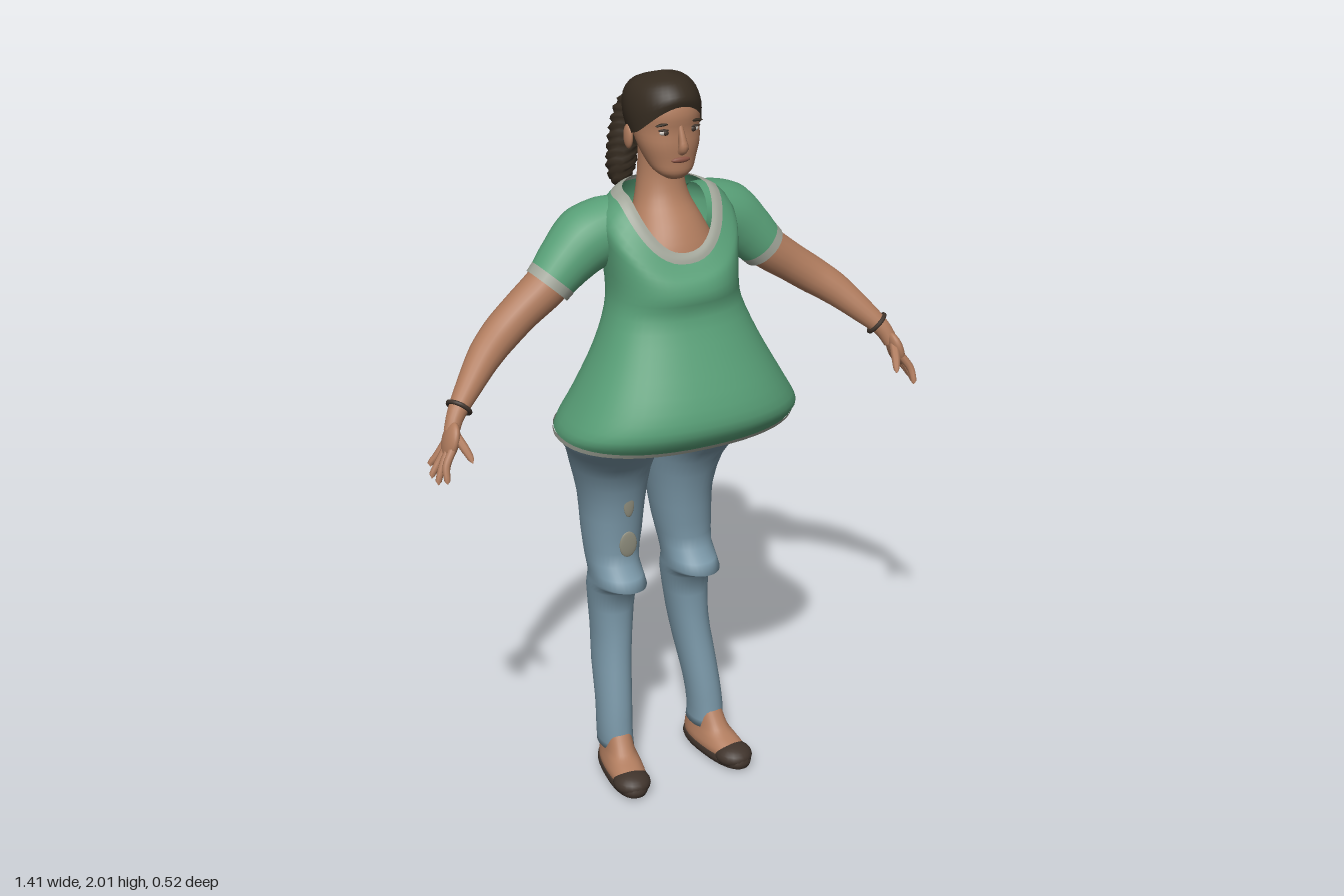
import * as THREE from 'three';

const mat = (name, color, open) => {
  const m = new THREE.MeshStandardMaterial({ color });
  m.name = name;
  if (open) m.side = THREE.DoubleSide;
  return m;
};

const catmull = (a, b, c, d, t) =>
  0.5 * (2 * b + (c - a) * t + (2 * a - 5 * b + 4 * c - d) * t * t + (3 * b - a - 3 * c + d) * t * t * t);

// Rings run bottom to top: [centreX, halfWidth, zFront, zBack, yFront, ySide, yBack]
function loft(rings, { steps = 3, power = 2, cap = false, n = 36 } = {}) {
  const R = rings.map(r => (r.length === 5 ? [...r, r[4], r[4]] : r));
  const all = [];
  for (let i = 0; i < R.length - 1; i++) {
    const [a, b, c, d] = [R[Math.max(i - 1, 0)], R[i], R[i + 1], R[Math.min(i + 2, R.length - 1)]];
    for (let k = 0; k < steps; k++) all.push(b.map((v, j) => catmull(a[j], v, c[j], d[j], k / steps)));
  }
  all.push(R[R.length - 1]);
  const pos = [], idx = [];
  const sp = v => Math.sign(v) * Math.abs(v) ** (2 / power);
  for (const [cx, hw, zf, zb, yf, ys, yb] of all) {
    for (let j = 0; j < n; j++) {
      const a = (j / n) * Math.PI * 2, s = sp(Math.sin(a));
      pos.push(cx + hw * sp(Math.cos(a)), ys + ((s > 0 ? yf : yb) - ys) * Math.abs(s) ** 1.5,
        (zf + zb) / 2 + s * (zf - zb) / 2);
    }
  }
  for (let i = 0; i < all.length - 1; i++) {
    for (let j = 0; j < n; j++) {
      const a = i * n + j, b = i * n + ((j + 1) % n);
      idx.push(a, a + n, b, b, a + n, b + n);
    }
  }
  if (cap) {
    for (const [ring, base, up] of [[all[0], 0, false], [all[all.length - 1], (all.length - 1) * n, true]]) {
      const c = pos.length / 3;
      pos.push(ring[0], (ring[4] + ring[6]) / 2, (ring[2] + ring[3]) / 2);
      for (let j = 0; j < n; j++) {
        const a = base + j, b = base + ((j + 1) % n);
        idx.push(c, up ? b : a, up ? a : b);
      }
    }
  }
  const g = new THREE.BufferGeometry();
  g.setAttribute('position', new THREE.Float32BufferAttribute(pos, 3));
  g.setIndex(idx);
  g.computeVertexNormals();
  return g;
}

// Tube with a radius at each control point [x, y, z, radius]
function limb(points, s = 1, sides = 16, seg = 24) {
  const curve = new THREE.CatmullRomCurve3(points.map(p => new THREE.Vector3(p[0] * s, p[1], p[2])));
  const g = new THREE.TubeGeometry(curve, seg, 1, sides);
  const p = g.attributes.position, v = new THREE.Vector3();
  for (let i = 0; i <= seg; i++) {
    const c = curve.getPointAt(i / seg);
    const t = curve.getUtoTmapping(i / seg) * (points.length - 1);
    const k = Math.min(Math.floor(t), points.length - 2);
    const r = THREE.MathUtils.lerp(points[k][3], points[k + 1][3], t - k);
    for (let j = 0; j <= sides; j++) {
      const q = i * (sides + 1) + j;
      v.fromBufferAttribute(p, q).sub(c).multiplyScalar(r).add(c);
      p.setXYZ(q, v.x, v.y, v.z);
    }
  }
  return g;
}

export function createModel() {
  const model = new THREE.Group();
  model.name = 'woman';
  const skin = mat('skin', 0xb07c5e), green = mat('shirtGreen', 0x589f77, true);
  const trim = mat('trimGrey', 0xa0a498, true), denim = mat('denim', 0x7895a5);
  const hair = mat('hairBrown', 0x352b20, true), shoe = mat('shoeDark', 0x40342c);
  const lip = mat('lipBrown', 0x8a5344), white = mat('eyeWhite', 0xcfc8c0), patch = mat('wornPatch', 0x8d8c7c);

  const add = (name, geo, m, parent = model) => {
    const o = new THREE.Mesh(geo, m);
    o.name = name;
    parent.add(o);
    return o;
  };
  const blob = (name, m, p, r, parent) => {
    const o = add(name, new THREE.SphereGeometry(1, 20, 14), m, parent);
    o.position.set(...p);
    o.scale.set(...r);
    return o;
  };

  // Flared shirt with scooped neckline
  add('shirt', loft([
    [0, 0.328, 0.23, -0.178, 1.075, 1.085, 1.105],
    [0, 0.322, 0.262, -0.168, 1.125, 1.115, 1.14],
    [0, 0.28, 0.252, -0.15, 1.19, 1.19, 1.2],
    [0, 0.222, 0.2, -0.122, 1.3, 1.3, 1.3],
    [0, 0.182, 0.155, -0.113, 1.4, 1.4, 1.4],
    [0, 0.172, 0.16, -0.135, 1.455, 1.47, 1.48],
    [0, 0.178, 0.15, -0.158, 1.49, 1.56, 1.56],
    [0, 0.18, 0.132, -0.165, 1.512, 1.635, 1.63],
    [0, 0.14, 0.115, -0.145, 1.535, 1.685, 1.685],
  ], { power: 2.3, n: 48 }), green);
  add('necklineTrim', loft([
    [0, 0.14, 0.115, -0.145, 1.535, 1.685, 1.685],
    [0, 0.125, 0.11, -0.138, 1.548, 1.693, 1.698],
    [0, 0.11, 0.1, -0.125, 1.56, 1.695, 1.705],
  ], { power: 2.3, n: 48 }), trim);
  add('hemTrim', loft([
    [0, 0.329, 0.224, -0.18, 1.065, 1.073, 1.092],
    [0, 0.33, 0.232, -0.18, 1.077, 1.087, 1.107],
  ], { power: 2.3, n: 48, steps: 1 }), trim);

  // Chest and neck
  add('neck', loft([
    [0, 0.125, 0.12, -0.05, 1.49], [0, 0.115, 0.1, -0.08, 1.56], [0, 0.092, 0.065, -0.105, 1.62],
    [0, 0.07, 0.02, -0.11, 1.675], [0, 0.06, 0.0, -0.105, 1.74], [0, 0.06, 0.0, -0.1, 1.81],
  ]), skin);

  // Head and face
  add('head', loft([
    [0, 0.026, 0.052, 0.0, 1.742], [0, 0.05, 0.064, -0.03, 1.76], [0, 0.066, 0.065, -0.065, 1.79],
    [0, 0.08, 0.067, -0.09, 1.83], [0, 0.085, 0.064, -0.12, 1.87], [0, 0.087, 0.067, -0.13, 1.91],
    [0, 0.078, 0.052, -0.12, 1.95], [0, 0.045, 0.015, -0.08, 1.98],
  ], { cap: true, power: 2.15 }), skin);
  add('nose', limb([[0, 1.882, 0.06, 0.006], [0, 1.848, 0.073, 0.01], [0, 1.83, 0.077, 0.014],
    [0, 1.815, 0.064, 0.01]], 1, 12, 12), skin);
  blob('lips', lip, [0, 1.795, 0.063], [0.026, 0.008, 0.008]);
  for (const s of [1, -1]) {
    blob('ear', skin, [s * 0.088, 1.835, -0.055], [0.01, 0.032, 0.02]);
    blob('eye', white, [s * 0.038, 1.868, 0.053], [0.017, 0.007, 0.006]);
    blob('iris', shoe, [s * 0.038, 1.868, 0.056], [0.008, 0.007, 0.005]);
    blob('lashes', shoe, [s * 0.04, 1.875, 0.054], [0.019, 0.003, 0.006]);
    blob('eyebrow', hair, [s * 0.042, 1.89, 0.054], [0.024, 0.004, 0.006]).rotation.z = -s * 0.1;
  }

  // Swept-back hair and ponytail
  add('hair', loft([
    [0, 0.09, 0.066, -0.105, 1.932, 1.855, 1.775], [0, 0.096, 0.068, -0.152, 1.95, 1.905, 1.84],
    [0, 0.087, 0.052, -0.164, 1.972, 1.952, 1.91], [0, 0.06, 0.024, -0.128, 1.99, 1.982, 1.965],
    [0, 0.002, -0.033, -0.037, 2, 2, 2],
  ], { n: 40 }), hair);
  const tail = limb([[0, 1.89, -0.14, 0.025], [-0.005, 1.895, -0.18, 0.027], [-0.015, 1.85, -0.208, 0.036],
    [-0.025, 1.78, -0.213, 0.04], [-0.035, 1.71, -0.21, 0.038], [-0.04, 1.665, -0.205, 0.026],
    [-0.04, 1.645, -0.203, 0.002]], 1, 14, 40);
  // Wavy strands
  const tp = tail.attributes.position;
  for (let i = 0; i < tp.count; i++) {
    const row = Math.floor(i / 15), w = Math.sin(row * 1.9 + (i % 15 % 14) * 2.2) * 0.004;
    tp.setX(i, tp.getX(i) + w);
    tp.setZ(i, tp.getZ(i) + w * 0.6);
  }
  tail.computeVertexNormals();
  add('ponytail', tail, hair);

  // Hips
  add('hips', loft([
    [0, 0.12, -0.06, -0.2, 0.94], [0, 0.2, 0.0, -0.21, 0.97], [0, 0.255, 0.095, -0.19, 1.03], [0, 0.28, 0.17, -0.165, 1.11],
  ], { cap: true }), denim);

  for (const s of [1, -1]) {
    const side = new THREE.Group();
    side.name = s > 0 ? 'leftSide' : 'rightSide';
    model.add(side);

    // Trouser leg with a pointed knee fold
    add('trouserLeg', loft([
      [0.14, 0.046, 0.008, -0.125, 0.07], [0.142, 0.047, 0, -0.12, 0.12], [0.137, 0.048, -0.013, -0.135, 0.2],
      [0.128, 0.051, -0.035, -0.175, 0.3], [0.118, 0.054, -0.053, -0.2, 0.4], [0.113, 0.066, -0.057, -0.208, 0.53],
      [0.112, 0.068, 0.02, -0.21, 0.57], [0.112, 0.07, -0.045, -0.215, 0.62], [0.107, 0.08, -0.05, -0.235, 0.7],
      [0.103, 0.088, -0.042, -0.255, 0.8], [0.11, 0.106, -0.015, -0.26, 0.9], [0.123, 0.121, 0.04, -0.24, 0.97],
      [0.143, 0.142, 0.1, -0.205, 1.03], [0.145, 0.143, 0.15, -0.17, 1.1],
    ].map(r => [r[0] * s, ...r.slice(1)]), { steps: 2, cap: true, power: 2.15 }), denim, side);

    // Foot in a low open shoe
    const foot = new THREE.Group();
    foot.name = 'foot';
    foot.position.x = s * 0.147;
    foot.rotation.y = s * 0.14;
    side.add(foot);
    add('footSkin', loft([
      [0, 0.05, 0.13, -0.126, 0.018], [0, 0.051, 0.125, -0.128, 0.035], [0, 0.045, 0.08, -0.126, 0.055],
      [0, 0.04, 0.035, -0.118, 0.075], [0, 0.036, 0, -0.105, 0.12],
    ], { power: 2.3 }), skin, foot);
    add('shoeSole', loft([
      [0, 0.05, 0.138, -0.128, 0], [0, 0.055, 0.142, -0.132, 0.012], [0, 0.053, 0.138, -0.13, 0.025],
    ], { cap: true, power: 2.4 }), shoe, foot);
    blob('shoeToe', shoe, [0, 0.022, 0.085], [0.052, 0.032, 0.054], foot);

    // Short sleeve and cuff
    add('sleeve', limb([[0.1, 1.6, -0.07, 0.075], [0.14, 1.593, -0.072, 0.086], [0.2, 1.573, -0.074, 0.089],
      [0.255, 1.528, -0.073, 0.075], [0.302, 1.48, -0.07, 0.064]], s, 24), green, side);
    add('sleeveCuff', limb([[0.296, 1.486, -0.07, 0.066], [0.314, 1.467, -0.069, 0.064]], s, 24, 2), trim, side);

    // Arm, bracelet and hand
    add('arm', limb([[0.26, 1.52, -0.07, 0.055], [0.32, 1.465, -0.069, 0.057], [0.39, 1.413, -0.065, 0.052],
      [0.45, 1.37, -0.052, 0.05], [0.505, 1.33, -0.028, 0.045], [0.57, 1.27, 0.012, 0.034],
      [0.622, 1.215, 0.046, 0.023], [0.64, 1.18, 0.06, 0.02]], s, 18, 32), skin, side);
    const band = add('bracelet', new THREE.TorusGeometry(0.03, 0.006, 8, 24), shoe, side);
    band.position.set(s * 0.608, 1.231, 0.037);
    band.lookAt(s * 0.66, 1.176, 0.071);
    blob('palm', skin, [s * 0.648, 1.162, 0.072], [0.018, 0.05, 0.037], side).rotation.z = s * 0.3;
    const tips = [[0.69, 1.085, 0.035], [0.699, 1.067, 0.066], [0.694, 1.06, 0.096], [0.68, 1.07, 0.122]];
    tips.forEach(([x, y, z], i) => {
      const bz = 0.048 + i * 0.016;
      add('finger', limb([[0.652, 1.15, bz, 0.011], [0.676, 1.112, (bz + z) / 2, 0.0105],
        [x, y + 0.008, z, 0.008], [x, y, z, 0.001]], s, 8, 10), skin, side);
    });
    add('thumb', limb([[0.638, 1.18, 0.08, 0.013], [0.626, 1.152, 0.112, 0.012],
      [0.618, 1.13, 0.13, 0.009], [0.616, 1.12, 0.136, 0.001]], s, 8, 10), skin, side);
  }

  // Worn patches on the right thigh
  blob('upperWornPatch', patch, [-0.1, 0.81, -0.043], [0.016, 0.04, 0.005]);
  blob('lowerWornPatch', patch, [-0.1, 0.685, -0.049], [0.026, 0.038, 0.005]);
  return model;
}
